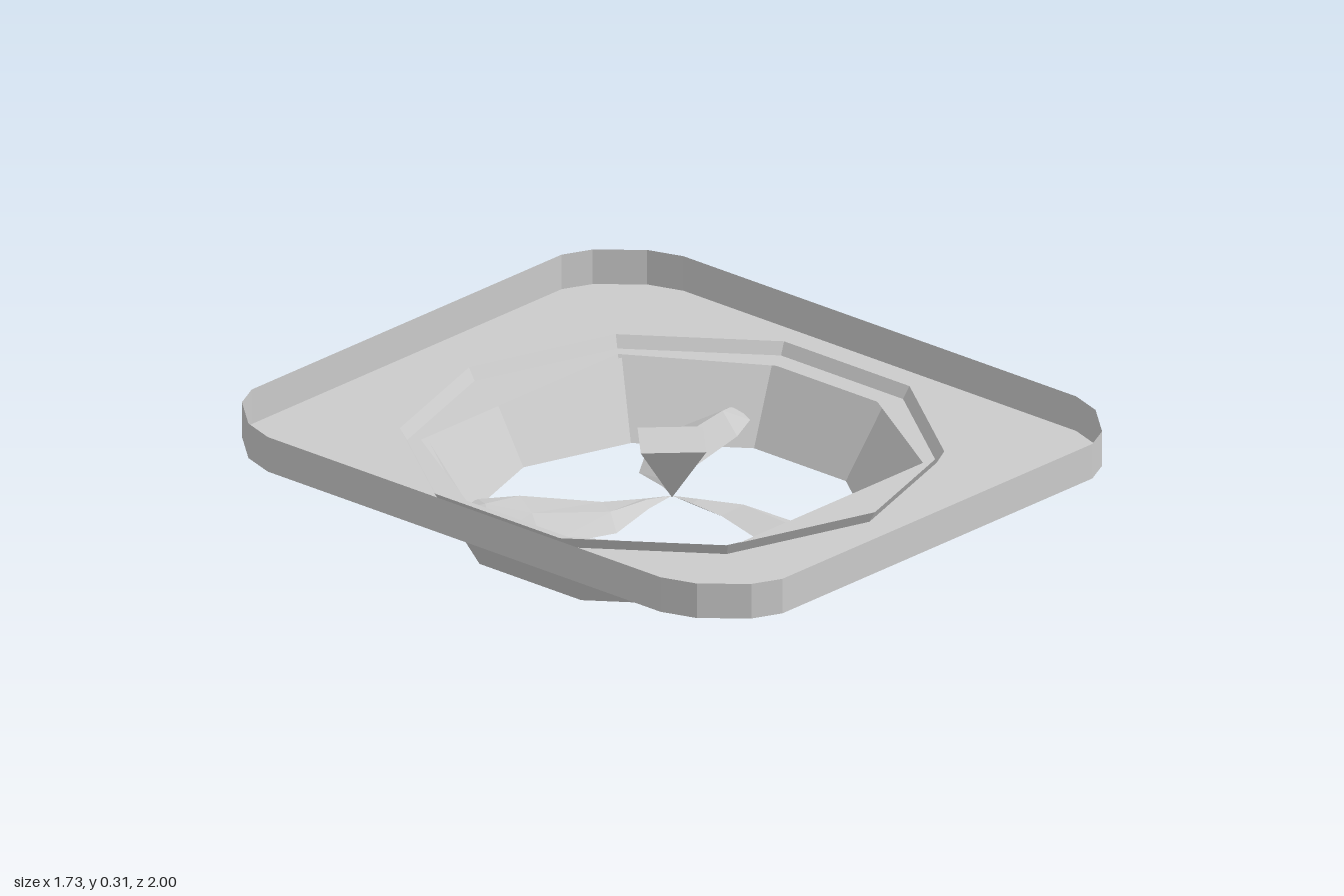
import * as THREE from 'three';

const material = new THREE.MeshStandardMaterial({ color: 0xcccccc, flatShading: true, side: THREE.DoubleSide });

function part(name, geometry) {
  const mesh = new THREE.Mesh(geometry, material);
  mesh.name = name;
  return mesh;
}

// Joins closed rings of [x, y, z] points into a faceted skin
function loft(rings) {
  const n = rings[0].length;
  const index = [];
  for (let r = 0; r < rings.length - 1; r++) {
    for (let i = 0; i < n; i++) {
      const a = r * n + i, a2 = r * n + (i + 1) % n;
      index.push(a, a + n, a2 + n, a, a2 + n, a2);
    }
  }
  const geometry = new THREE.BufferGeometry();
  geometry.setAttribute('position', new THREE.Float32BufferAttribute(rings.flat(2), 3));
  geometry.setIndex(index);
  const flat = geometry.toNonIndexed();
  flat.computeVertexNormals();
  return flat;
}

// Mirrors one quadrant of an outline (from the x side towards z) into a full loop
function mirrored(quarter) {
  const back = [...quarter].reverse();
  return [
    ...quarter,
    ...back.map(([x, z]) => [-x, z]),
    ...quarter.map(([x, z]) => [-x, -z]),
    ...back.map(([x, z]) => [x, -z]),
  ];
}

export function createModel() {
  const group = new THREE.Group();
  const floorY = 0.21, wallTop = 0.315;

  // Tray: thin floor with an eight-sided opening and a thin upright wall
  const outline = mirrored([[0.865, 0.74], [0.83, 0.845], [0.73, 0.96], [0.645, 1]]);
  const opening = mirrored([[0.645, 0.19], [0.41, 0.575]]);
  const toPoints = (loop) => loop.map(([x, z]) => new THREE.Vector2(x, -z));
  const shape = new THREE.Shape(toPoints(outline));
  shape.holes.push(new THREE.Path(toPoints(opening)));
  const floor = new THREE.ShapeGeometry(shape);
  floor.rotateX(-Math.PI / 2).translate(0, floorY, 0);
  group.add(part('trayFloor', floor));
  group.add(part('trayWall', loft([floorY, wallTop].map((y) => outline.map(([x, z]) => [x, y, z])))));

  // Ten-sided duct whose flared outer skin rises through the floor as a lip
  const profile = [[0.683, floorY - 0.002], [0.56, 0], [0.62, 0], [0.765, 0.245]];
  group.add(part('duct', new THREE.LatheGeometry(profile.map(([r, y]) => new THREE.Vector2(r, y)), 10)));

  // Hub: four-sided spike pointing down
  const hub = new THREE.ConeGeometry(0.13, 0.175, 4);
  hub.rotateX(Math.PI).translate(0, 0.157, 0);
  group.add(part('hub', hub));

  // Blade sections: distance, trailing edge, ridge, leading edge, half thickness
  const sections = [
    [0, 0, 0, 0, 0],
    [0.08, 0, 0.025, 0.05, 0.012],
    [0.2, -0.005, 0.084, 0.15, 0.025],
    [0.42, -0.075, 0.06, 0.18, 0.03],
    [0.54, -0.08, 0, 0.11, 0.035],
    [0.605, -0.04, -0.01, 0.05, 0.02],
    [0.605, 0, 0, 0, 0],
  ];
  const pitch = 0.2, bladeY = 0.075;
  const rings = sections.map(([u, trail, ridge, lead, t]) => [
    [u, bladeY - trail * pitch, -trail],
    [u, bladeY - ridge * pitch + t, -ridge],
    [u, bladeY - lead * pitch, -lead],
    [u, bladeY - ridge * pitch - t, -ridge],
  ]);
  const bladeGeometry = loft(rings);
  for (let i = 0; i < 3; i++) {
    const blade = part('blade', bladeGeometry);
    blade.rotation.y = THREE.MathUtils.degToRad(27 + i * 120);
    group.add(blade);
  }
  return group;
}
